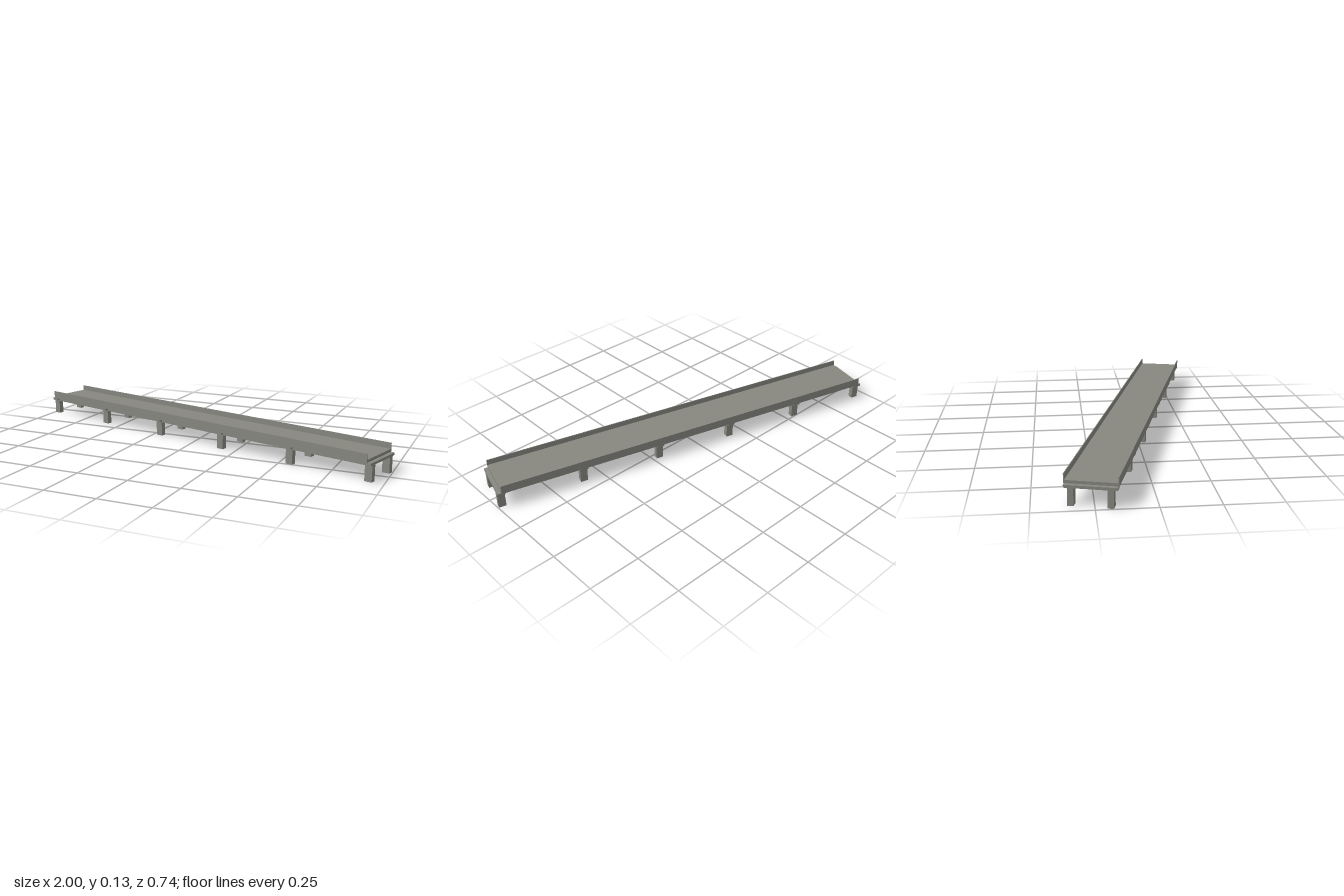
import * as THREE from 'three';

const SPANS = 5, SPAN = 0.396, LENGTH = SPANS * SPAN;
const DECK_WIDTH = 0.223, CAP_WIDTH = 0.216, PIER_DEPTH = 0.036;
const COLUMN_WIDTH = 0.025, COLUMN_OFFSET = 0.08;

export function createModel() {
  const concrete = new THREE.MeshStandardMaterial({ color: 0x878780 });
  concrete.name = 'concrete grey';
  const model = new THREE.Group();
  model.name = 'bridge';

  // Box placed by its bottom and top heights
  function addBox(parent, name, length, bottom, top, width, x, z) {
    const mesh = new THREE.Mesh(new THREE.BoxGeometry(length, top - bottom, width), concrete);
    mesh.name = name;
    mesh.position.set(x, (bottom + top) / 2, z);
    parent.add(mesh);
  }

  // Road slab
  addBox(model, 'deck', LENGTH, 0.087, 0.1, DECK_WIDTH, 0, 0);

  // Edge walls and the girders beneath them
  for (const side of [-1, 1]) {
    const label = side > 0 ? 'front' : 'back';
    addBox(model, label + 'Parapet', LENGTH, 0.1, 0.127, 0.004, 0, side * (DECK_WIDTH / 2 - 0.002));
    addBox(model, label + 'Girder', LENGTH, 0.07, 0.087, COLUMN_WIDTH - 0.001, 0, side * COLUMN_OFFSET);
  }

  // Piers: a crossbeam on two columns
  for (let i = 0; i <= SPANS; i++) {
    const pier = new THREE.Group();
    pier.name = 'pier' + (i + 1);
    pier.position.x = -LENGTH / 2 + i * SPAN;
    addBox(pier, 'crossbeam', PIER_DEPTH, 0.075, 0.087, CAP_WIDTH, 0, 0);
    for (const side of [-1, 1]) {
      addBox(pier, 'column', PIER_DEPTH - 0.001, 0, 0.075, COLUMN_WIDTH, 0, side * COLUMN_OFFSET);
    }
    model.add(pier);
  }

  // The bridge runs diagonally
  model.rotation.y = -Math.atan2(0.105, 0.382);
  const group = new THREE.Group();
  group.name = 'bridgeModel';
  group.add(model);
  return group;
}
